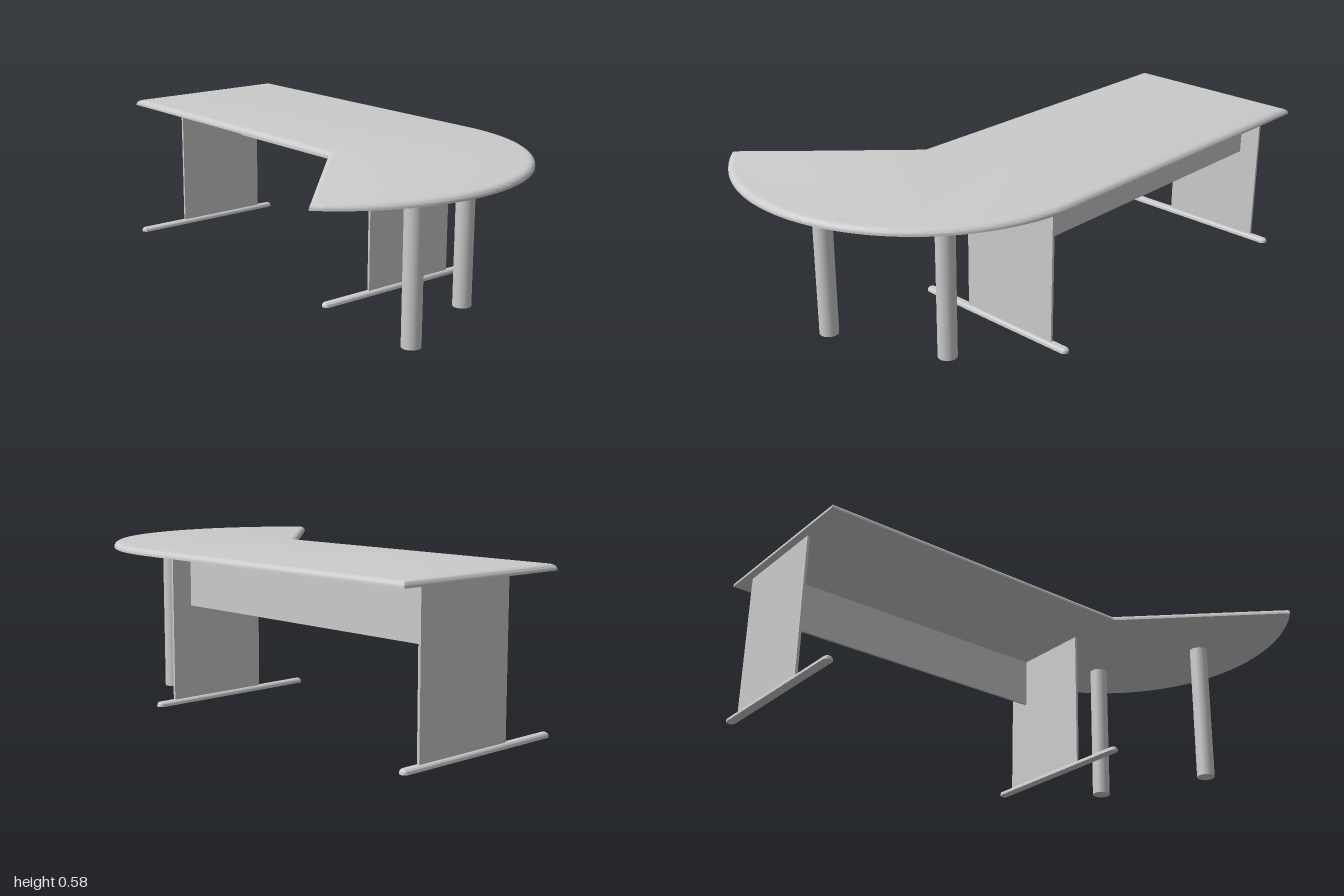
import * as THREE from 'three';
import { toCreasedNormals } from 'three/addons/utils/BufferGeometryUtils.js';

const material = new THREE.MeshStandardMaterial({ color: 0xcccccc });
const TOP_Y = 0.56;

// Flat-bottomed slab, outlined in (x, -z), with a rounded upper edge.
function roundedSlab(shape, height, edge, curveSegments) {
  const lip = height * 0.2;
  const geometry = new THREE.ExtrudeGeometry(shape, {
    depth: lip,
    bevelEnabled: true,
    bevelThickness: height - lip,
    bevelSize: edge,
    bevelOffset: -edge,
    bevelSegments: 5,
    curveSegments,
  });
  // press the lower bevel flat
  const p = geometry.attributes.position;
  for (let i = 0; i < p.count; i++) p.setZ(i, Math.max(p.getZ(i), 0));
  geometry.rotateX(-Math.PI / 2);
  return toCreasedNormals(geometry, 0.6);
}

export function createModel() {
  const model = new THREE.Group();
  model.name = 'desk';

  function add(name, geometry, x, y, z) {
    const mesh = new THREE.Mesh(geometry, material);
    mesh.name = name;
    mesh.position.set(x, y, z);
    model.add(mesh);
  }

  // Worktop: straight run ending in a wide curved sector
  const top = new THREE.Shape();
  top.moveTo(-0.115, 1);
  top.lineTo(-0.115, -0.292);
  const end = THREE.MathUtils.degToRad(-136);
  top.lineTo(-0.1 + 0.7 * Math.cos(end), -0.3 + 0.7 * Math.sin(end));
  top.absarc(-0.1, -0.3, 0.7, end, 0, false);
  top.lineTo(0.6, 1);
  top.closePath();
  add('worktop', roundedSlab(top, 0.023, 0.025, 48), 0, TOP_Y, 0);

  // Round columns under the curved end
  const column = new THREE.CylinderGeometry(0.035, 0.035, TOP_Y, 32);
  add('rightColumn', column, -0.137, TOP_Y / 2, 0.755);
  add('leftColumn', column, 0.287, TOP_Y / 2, 0.577);

  // Panel legs, each on a long rounded foot rail
  const w = 0.0175;
  const rail = new THREE.Shape();
  rail.absarc(0.35 - w, 0, w, -Math.PI / 2, Math.PI / 2, false);
  rail.absarc(-0.35 + w, 0, w, Math.PI / 2, Math.PI * 1.5, false);
  rail.closePath();
  const foot = roundedSlab(rail, 0.017, 0.012, 10);
  const panel = new THREE.BoxGeometry(0.405, TOP_Y - 0.01, 0.01);
  for (const [side, z] of [['front', 0.278], ['back', -0.967]]) {
    add(side + 'Foot', foot, 0.225, 0, z);
    add(side + 'PanelLeg', panel, 0.2975, (TOP_Y + 0.01) / 2, z);
  }

  // Modesty panel joining the two panel legs
  add('modestyPanel', new THREE.BoxGeometry(0.01, 0.195, 1.24), 0.415, TOP_Y - 0.0975, -0.345);

  return model;
}
